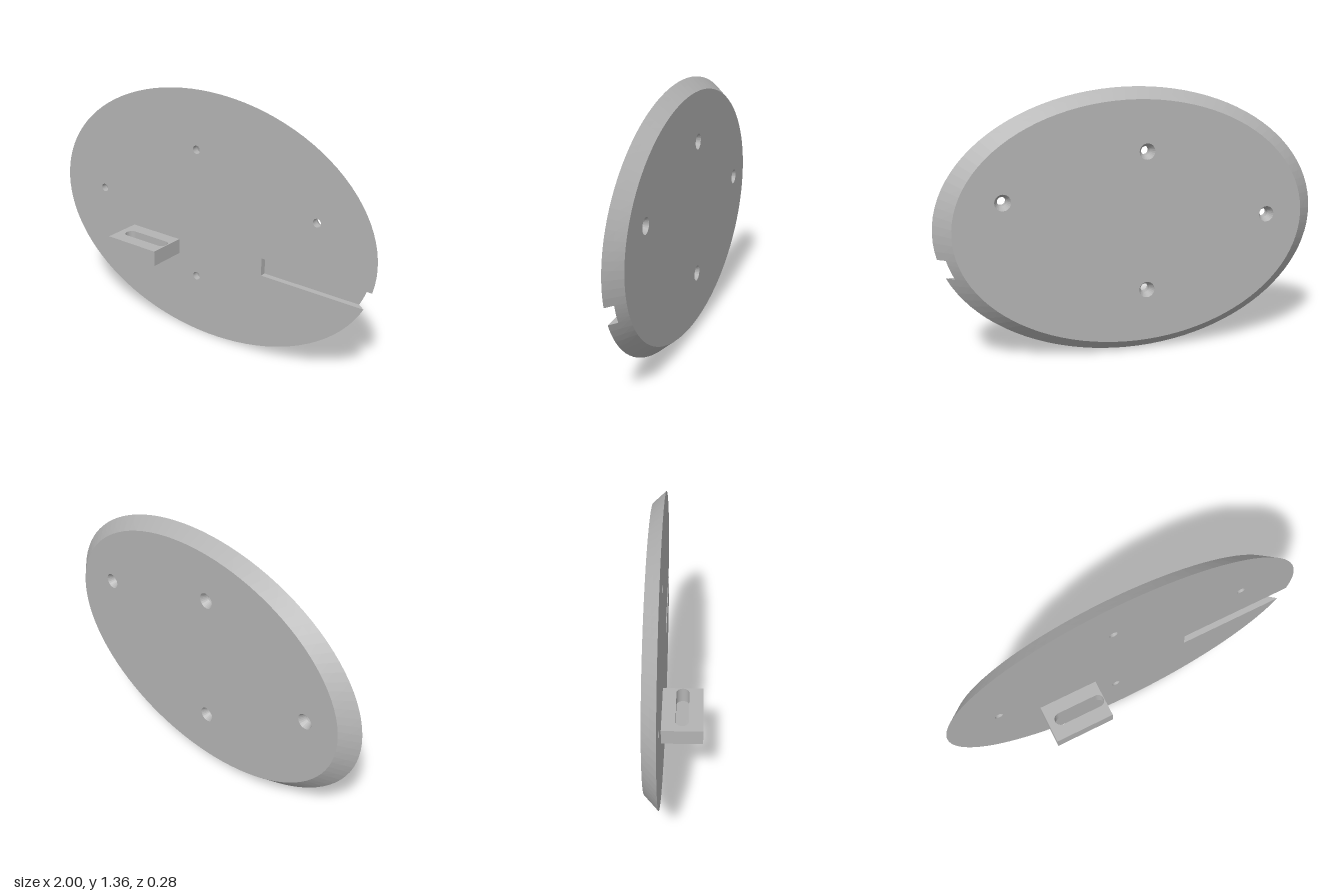
import * as THREE from 'three';
import { mergeGeometries } from 'three/addons/utils/BufferGeometryUtils.js';

const CY = 0.683, RX = 1, RY = 0.68;                // front ellipse
const Z_FRONT = -0.07, Z_FLOOR = -0.102, Z_BACK = -0.14;
const BACK_SCALE = 0.916;                            // bevelled back is smaller
const NOTCH = { x: 0.355, lo: 0.458, hi: 0.555 };
const HOLES = [[-0.063, 1.045], [-0.72, 0.685], [0.666, 0.83], [-0.063, 0.33]];

const v = (x, y) => new THREE.Vector2(x, y);

// Points along an ellipse arc, counter-clockwise
function arc(s, from, to, n) {
  return Array.from({ length: n + 1 }, (_, i) => {
    const a = from + (to - from) * i / n;
    return v(RX * s * Math.cos(a), CY + RY * s * Math.sin(a));
  });
}

// Outer arc and notch arc of the ellipse at a given scale
function outline(s) {
  const lo = Math.asin((NOTCH.lo - CY) / (RY * s));
  const hi = Math.asin((NOTCH.hi - CY) / (RY * s));
  return { rim: arc(s, hi, lo + Math.PI * 2, 96), gap: arc(s, lo, hi, 4) };
}

// Clockwise circle, so lofted walls face inward
function circle([x, y], r) {
  return Array.from({ length: 24 }, (_, i) => {
    const a = -i / 24 * Math.PI * 2;
    return v(x + r * Math.cos(a), y + r * Math.sin(a));
  });
}

// Wall between two matching closed loops
function loft(front, zf, back, zb) {
  const p = [];
  front.forEach((a, i) => {
    const j = (i + 1) % front.length;
    const b = back[i], c = back[j], d = front[j];
    p.push(a.x, a.y, zf, b.x, b.y, zb, c.x, c.y, zb);
    p.push(a.x, a.y, zf, c.x, c.y, zb, d.x, d.y, zf);
  });
  const g = new THREE.BufferGeometry();
  g.setAttribute('position', new THREE.Float32BufferAttribute(p, 3));
  g.computeVertexNormals();
  return g;
}

// Flat face with holes, optionally facing backward
function face(loop, holes, z, flip = false) {
  const shape = new THREE.Shape(loop);
  shape.holes = holes.map(h => new THREE.Path(h));
  const g = new THREE.ShapeGeometry(shape);
  if (flip) g.index.array.reverse();
  const out = g.toNonIndexed().translate(0, 0, z);
  out.deleteAttribute('uv');
  out.computeVertexNormals();
  return out;
}

function plateGeometry() {
  const midScale = 1 + (BACK_SCALE - 1) * (Z_FLOOR - Z_FRONT) / (Z_BACK - Z_FRONT);
  const front = outline(1), mid = outline(midScale), back = outline(BACK_SCALE);
  const corners = [v(NOTCH.x, NOTCH.lo), v(NOTCH.x, NOTCH.hi)];
  const notched = o => [...o.rim, ...corners];
  const full = o => [...o.rim, ...o.gap.slice(1, -1)];
  const small = HOLES.map(h => circle(h, 0.0225));
  const large = HOLES.map(h => circle(h, 0.041));
  const parts = [
    face(notched(front), small, Z_FRONT),
    loft(notched(front), Z_FRONT, notched(mid), Z_FLOOR),
    face([...mid.gap, corners[1], corners[0]], [], Z_FLOOR),
    loft(full(mid), Z_FLOOR, full(back), Z_BACK),
    face(full(back), large, Z_BACK, true),
  ];
  // Countersunk screw holes
  HOLES.forEach((_, i) => {
    parts.push(loft(small[i], Z_FRONT, small[i], -0.105));
    parts.push(loft(small[i], -0.105, large[i], Z_BACK));
  });
  return mergeGeometries(parts);
}

// Projecting block with a vertical rounded slot
function blockGeometry() {
  const s = new THREE.Shape([v(-0.505, Z_FRONT), v(-0.182, Z_FRONT), v(-0.182, 0.137), v(-0.505, 0.137)]);
  const slot = new THREE.Path();
  const r = 0.033, z = 0.033;
  slot.absarc(-0.218, z, r, -Math.PI / 2, Math.PI / 2, false);
  slot.absarc(-0.435, z, r, Math.PI / 2, Math.PI * 1.5, false);
  slot.closePath();
  s.holes.push(slot);
  return new THREE.ExtrudeGeometry(s, { depth: 0.083, bevelEnabled: false, curveSegments: 12 })
    .rotateX(Math.PI / 2).translate(0, 0.514, 0);
}

export function createModel() {
  const grey = new THREE.MeshStandardMaterial({ color: 0xb4b4b4 });
  grey.name = 'grey';
  const group = new THREE.Group();
  group.name = 'ovalMountingPlate';
  const add = (name, geometry) => {
    const mesh = new THREE.Mesh(geometry, grey);
    mesh.name = name;
    group.add(mesh);
  };
  add('ovalPlate', plateGeometry());
  add('slottedBlock', blockGeometry());
  return group;
}
